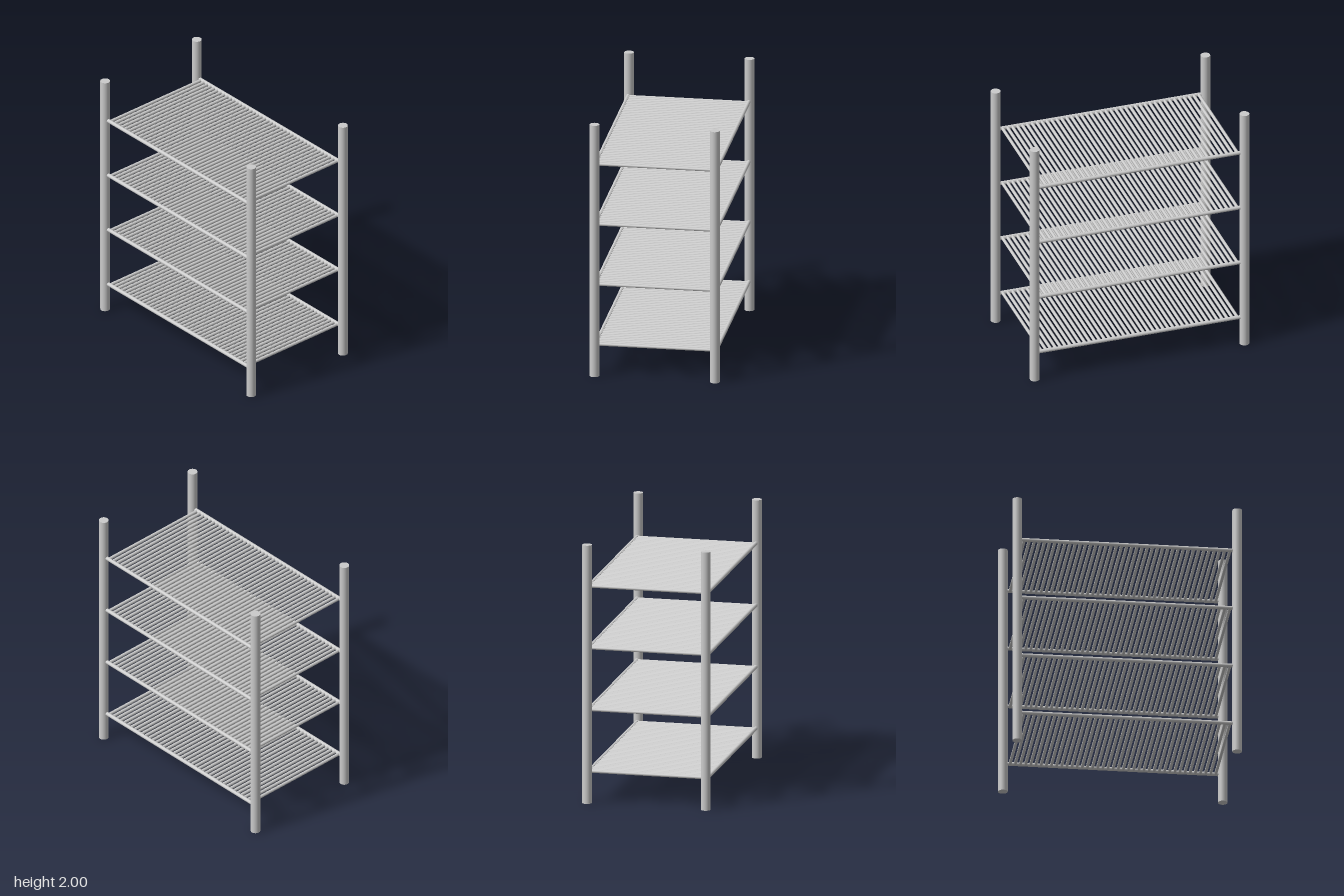
import * as THREE from 'three';

const POST_X = 0.458, POST_Z = 0.832, POST_R = 0.037, HEIGHT = 2;
const RAIL_R = 0.0145, RUNG_R = 0.012;
const RUNGS = 41, RUNG_SPAN = 1.556;
const SHELF_HEIGHTS = [0.233, 0.71, 1.188, 1.666];

export function createModel() {
  const model = new THREE.Group();
  model.name = 'slattedRack';
  const material = new THREE.MeshStandardMaterial({ color: 0xcccccc });

  const add = (parent, geometry, name, x, y, z) => {
    const mesh = new THREE.Mesh(geometry, material);
    mesh.name = name;
    mesh.position.set(x, y, z);
    parent.add(mesh);
  };

  // Four round corner posts
  const postGeometry = new THREE.CylinderGeometry(POST_R, POST_R, HEIGHT, 32);
  for (const x of [-POST_X, POST_X])
    for (const z of [-POST_Z, POST_Z]) add(model, postGeometry, 'post', x, HEIGHT / 2, z);

  // Side rails run front to back, rungs run across between them
  const railGeometry = new THREE.CylinderGeometry(RAIL_R, RAIL_R, POST_Z * 2, 20).rotateX(Math.PI / 2);
  const rungGeometry = new THREE.CylinderGeometry(RUNG_R, RUNG_R, POST_X * 2, 16).rotateZ(Math.PI / 2);

  // Four identical slatted shelves
  for (const y of SHELF_HEIGHTS) {
    const shelf = new THREE.Group();
    shelf.name = 'shelf';
    shelf.position.y = y;
    for (const x of [-POST_X, POST_X]) add(shelf, railGeometry, 'sideRail', x, 0, 0);
    for (let i = 0; i < RUNGS; i++)
      add(shelf, rungGeometry, 'rung', 0, 0, (i / (RUNGS - 1) - 0.5) * RUNG_SPAN);
    model.add(shelf);
  }

  return model;
}
